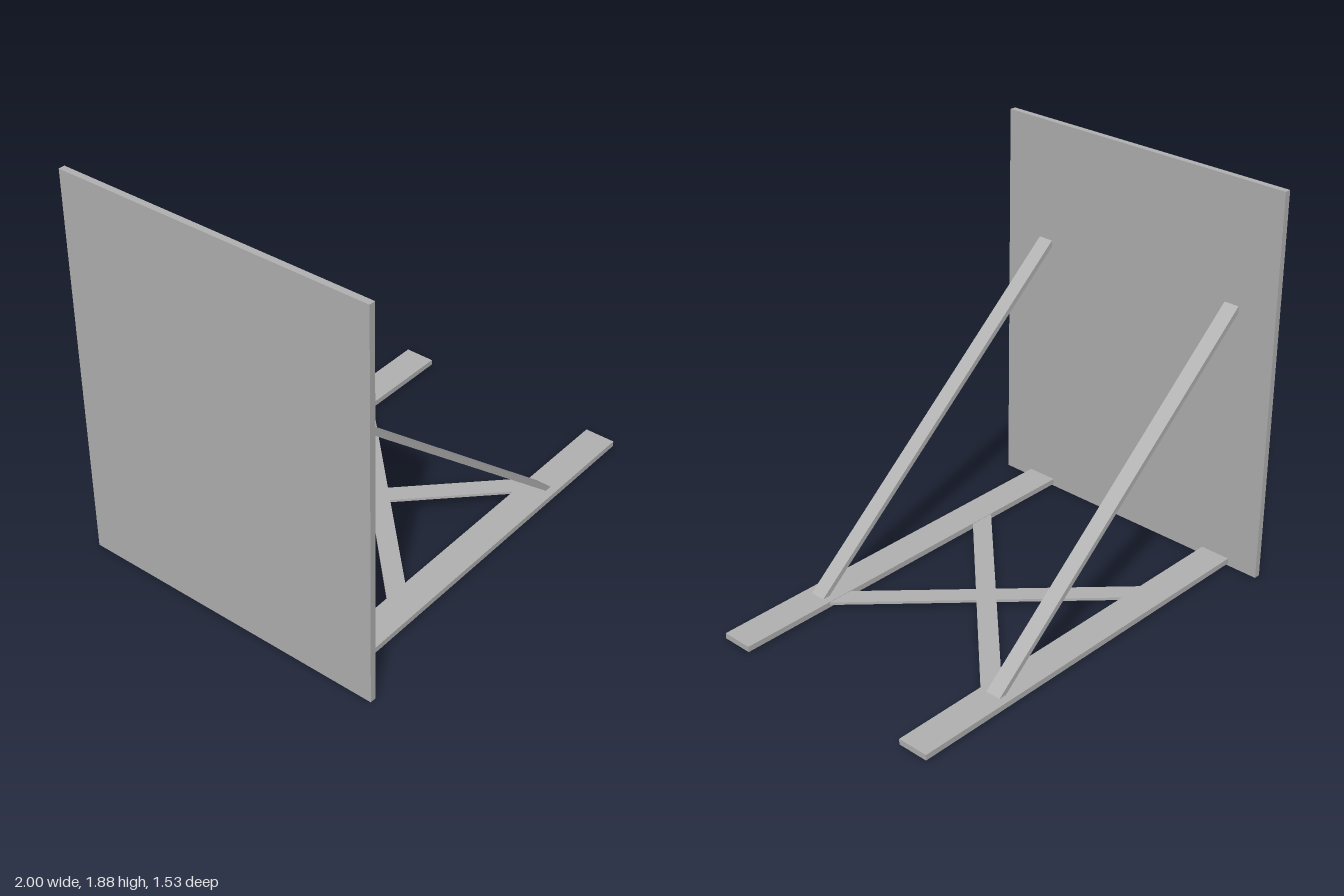
import * as THREE from 'three';

export function createModel() {
  const model = new THREE.Group();
  const grey = new THREE.MeshStandardMaterial({ color: 0xb2b2b2 });
  grey.name = 'plain grey';

  const add = (name, geometry, x, y, z) => {
    const mesh = new THREE.Mesh(geometry, grey);
    mesh.name = name;
    mesh.position.set(x, y, z);
    model.add(mesh);
    return mesh;
  };

  // Upright panel
  add('panel', new THREE.BoxGeometry(0.03, 1.875, 1.53), -0.985, 0.9375, 0);

  // Side profile of the sloping strut, cut flush to the panel and rail
  const strutShape = new THREE.Shape([
    new THREE.Vector2(-0.97, 1.27),
    new THREE.Vector2(0.497, 0.037),
    new THREE.Vector2(0.535, 0.037),
    new THREE.Vector2(-0.967, 1.3),
    new THREE.Vector2(-0.97, 1.3),
  ]);
  const strutWidth = 0.075;
  const strutGeometry = new THREE.ExtrudeGeometry(strutShape, { depth: strutWidth, bevelEnabled: false });
  strutGeometry.translate(0, 0, -strutWidth / 2);

  // Floor rail and strut on each side
  for (const [side, s] of [['left', 1], ['right', -1]]) {
    add(side + 'Rail', new THREE.BoxGeometry(1.97, 0.027, 0.15), 0.015, 0.0235, s * 0.535);
    add(side + 'Strut', strutGeometry, 0, 0, s * 0.535);
  }

  // Flat diagonal cross members between the rails, ends cut along the rails
  const centre = 0.007, reach = 0.46, half = 0.063;
  for (const s of [1, -1]) {
    const shape = new THREE.Shape([
      new THREE.Vector2(-s * reach - half, -reach),
      new THREE.Vector2(-s * reach + half, -reach),
      new THREE.Vector2(s * reach + half, reach),
      new THREE.Vector2(s * reach - half, reach),
    ]);
    const geometry = new THREE.ExtrudeGeometry(shape, { depth: 0.013, bevelEnabled: false });
    geometry.rotateX(-Math.PI / 2);
    add('crossMember', geometry, centre, 0.022, 0);
  }

  return model;
}
